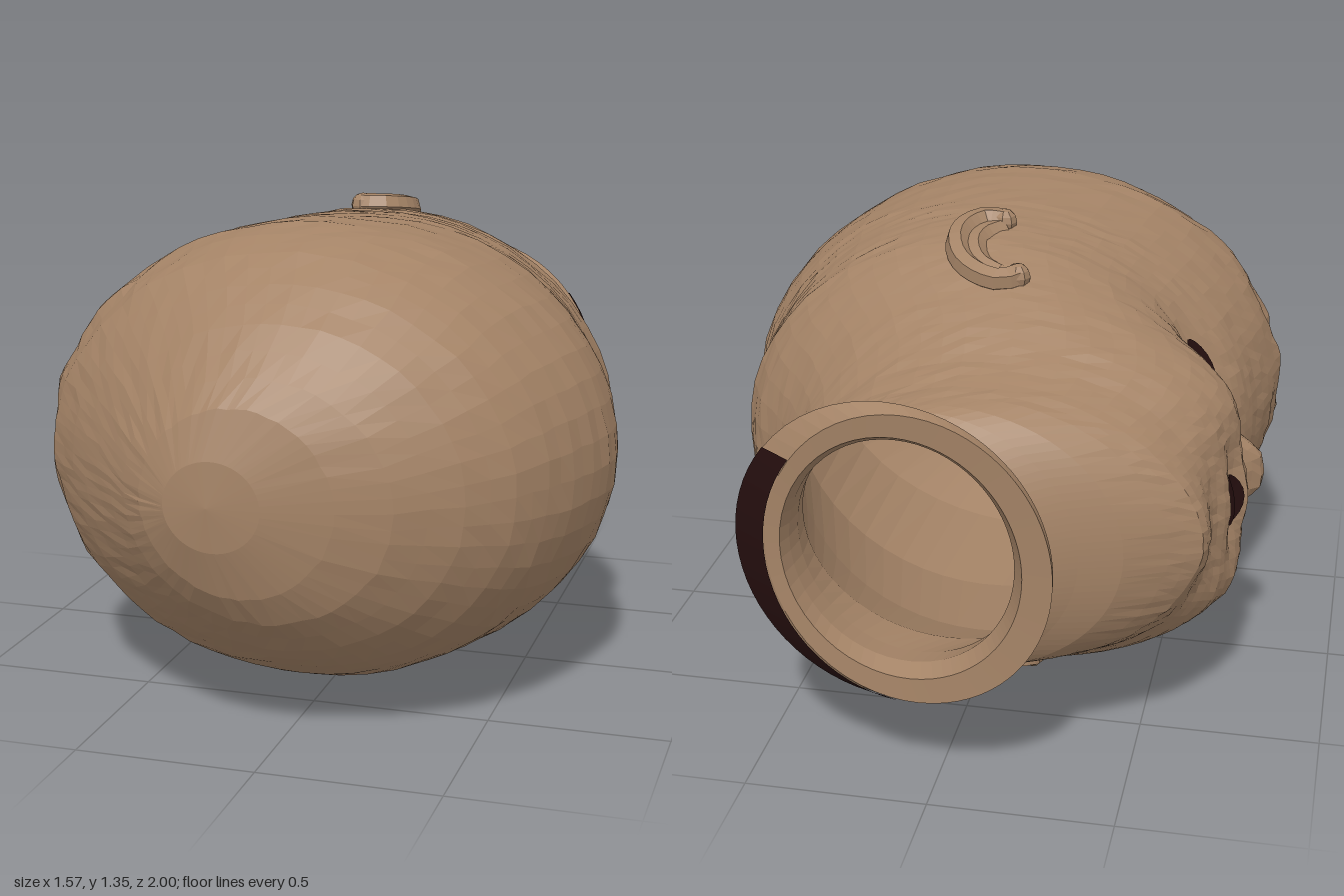
import * as THREE from 'three';

const MID = 0.69; // height of the face's plane of symmetry
const SEG = 72;

// Outer sections from crown to neck: z, xMin, xMax, yMin, yMax
const HEAD = [
  [1.0, -0.12, -0.12, 0.7, 0.7], [0.99, -0.24, 0.02, 0.58, 0.82], [0.95, -0.32, 0.2, 0.45, 0.95],
  [0.9, -0.385, 0.34, 0.37, 1.02], [0.8, -0.5, 0.5, 0.265, 1.14], [0.7, -0.615, 0.61, 0.185, 1.225],
  [0.6, -0.715, 0.675, 0.125, 1.29], [0.5, -0.765, 0.72, 0.085, 1.325], [0.4, -0.785, 0.755, 0.068, 1.342],
  [0.3, -0.775, 0.778, 0.06, 1.342], [0.2, -0.755, 0.783, 0.055, 1.335], [0.1, -0.725, 0.77, 0.05, 1.33],
  [0.0, -0.69, 0.735, 0.045, 1.322], [-0.1, -0.665, 0.712, 0.045, 1.315], [-0.2, -0.67, 0.708, 0.055, 1.3],
  [-0.3, -0.685, 0.66, 0.08, 1.26], [-0.4, -0.69, 0.565, 0.12, 1.215], [-0.5, -0.68, 0.5, 0.18, 1.165],
  [-0.6, -0.65, 0.465, 0.25, 1.11], [-0.7, -0.63, 0.45, 0.29, 1.08], [-0.75, -0.57, 0.445, 0.3, 1.07],
];
// Flange lip and face edge; the last number tilts the ring
const LIP = [-0.912, -0.325, 0.53, 0.27, 1.11, 0.115];
const FACE_EDGE = [-0.948, -0.33, 0.44, 0.285, 1.095, 0.115];
// Neck, flange and hollow inside
const NECK = [
  [-0.785, -0.48, 0.435, 0.31, 1.06, 0.05], [-0.81, -0.37, 0.43, 0.32, 1.05, 0.09],
  [-0.84, -0.29, 0.42, 0.33, 1.03, 0.115], [-0.863, -0.27, 0.42, 0.33, 1.03, 0.115],
  [-0.878, -0.3, 0.505, 0.285, 1.09, 0.115], LIP, FACE_EDGE,
  [-0.943, -0.25, 0.4, 0.35, 1.03, 0.115],
  [-0.89, -0.22, 0.39, 0.37, 1.0, 0.115], [-0.82, -0.24, 0.385, 0.36, 1.01, 0.09],
  [-0.7, -0.4, 0.4, 0.34, 1.03, 0], [-0.4, -0.54, 0.5, 0.2, 1.13, 0],
  [0, -0.56, 0.64, 0.13, 1.24, 0], [0.4, -0.68, 0.66, 0.15, 1.25, 0],
  [0.7, -0.5, 0.45, 0.25, 1.14, 0], [0.9, -0.12, -0.12, 0.7, 0.7, 0],
];
// Face relief: sideways offset, z, two spreads, outward height
const RELIEF = [
  [0, -0.2, 0.065, 0.055, 0.105], [0.07, -0.21, 0.035, 0.035, 0.035], // nose and nostrils
  [0.24, -0.09, 0.1, 0.05, -0.04], [0.2, 0.04, 0.12, 0.06, 0.015], // eye sockets and brow
  [0.28, -0.32, 0.12, 0.08, 0.07], [0.32, -0.49, 0.13, 0.12, 0.085], // cheeks and jowls
  [0, -0.365, 0.1, 0.035, 0.06], [0, -0.42, 0.08, 0.02, -0.035], [0, -0.47, 0.09, 0.035, 0.03], // lips
  [0, -0.67, 0.14, 0.06, 0.045], // chin
];

function hash(a, b) {
  const s = Math.sin(a * 127.1 + b * 311.7) * 43758.5453;
  return s - Math.floor(s) - 0.5;
}

function section(z) {
  let i = 0;
  while (i < HEAD.length - 2 && HEAD[i + 1][0] > z) i++;
  const a = HEAD[i], b = HEAD[i + 1];
  const t = THREE.MathUtils.clamp((a[0] - z) / (a[0] - b[0]), 0, 1);
  return a.map((v, k) => v + (b[k] - v) * t);
}

function relief(y, z) {
  let sum = 0;
  for (const [dy, cz, sy, sz, h] of RELIEF) {
    for (const side of dy ? [-1, 1] : [1]) {
      sum += h * Math.exp(-(((y - MID - side * dy) / sy) ** 2 + ((z - cz) / sz) ** 2) / 2);
    }
  }
  // soft locks of hair over the forehead
  const hair = Math.exp(-(((z - 0.48) / 0.13) ** 2));
  return sum + 0.014 * hair * Math.sin(19 * y + 6 * z) * Math.cos(23 * z - 7 * y);
}

// Point of a ring at angle t, before tilting
function ringPoint([, x0, x1, y0, y1], t) {
  return [(x0 + x1) / 2 + ((x1 - x0) / 2) * Math.cos(t), (y0 + y1) / 2 + ((y1 - y0) / 2) * Math.sin(t)];
}

// Front surface of the face at a given height and z
function faceX(y, z) {
  const [, x0, x1, y0, y1] = section(z);
  const v = (y - (y0 + y1) / 2) / ((y1 - y0) / 2);
  return (x0 + x1) / 2 - ((x1 - x0) / 2) * Math.sqrt(Math.max(0, 1 - v * v)) - relief(y, z);
}

// Side surface of the head (side = 1 upper, -1 lower)
function sideY(x, z, side) {
  const [, x0, x1, y0, y1] = section(z);
  const u = (x - (x0 + x1) / 2) / ((x1 - x0) / 2);
  return (y0 + y1) / 2 + side * ((y1 - y0) / 2) * Math.sqrt(Math.max(0, 1 - u * u));
}

function gridGeometry(pos, index) {
  const g = new THREE.BufferGeometry();
  g.setAttribute('position', new THREE.Float32BufferAttribute(pos, 3));
  g.setIndex(index);
  g.computeVertexNormals();
  return g;
}

function headGeometry() {
  const rings = [];
  for (let i = 0; i < HEAD.length - 1; i++) {
    const a = HEAD[i][0], b = HEAD[i + 1][0];
    const n = Math.max(1, Math.round((a - b) / (a <= 0.1 ? 0.025 : 0.05)));
    for (let k = 0; k < n; k++) rings.push([...section(a + ((b - a) * k) / n), 0]);
  }
  rings.push([...HEAD[HEAD.length - 1], 0]);
  const outer = rings.length;
  rings.push(...NECK);

  const pos = [], index = [];
  rings.forEach((ring, i) => {
    const z = ring[0];
    for (let j = 0; j < SEG; j++) {
      const u = (j / SEG) * Math.PI * 2;
      const t = u + 0.45 * Math.sin(u); // more columns across the face
      let [x, y] = ringPoint(ring, t);
      if (i < outer && i > 1) {
        const c = Math.cos(t);
        if (c < 0) x -= relief(y, z) * Math.min(1, -c * 2);
        x += hash(i, j) * 0.006;
        y += hash(j, i + 50) * 0.006;
      }
      pos.push(x, y, z + ring[5] * (x - 0.1));
    }
  });
  for (let i = 0; i < rings.length - 1; i++) {
    for (let j = 0; j < SEG; j++) {
      const a = i * SEG + j, b = i * SEG + ((j + 1) % SEG), c = a + SEG, d = b + SEG;
      index.push(a, c, b, b, c, d);
    }
  }
  return gridGeometry(pos, index);
}

// Oval patch laid on the face
function facePatch(cy, cz, ry, rz) {
  const g = new THREE.RingGeometry(0.001, 1, 20, 4);
  const p = g.attributes.position;
  for (let i = 0; i < p.count; i++) {
    const y = cy + p.getX(i) * ry, z = cz + p.getY(i) * rz;
    p.setXYZ(i, faceX(y, z) - 0.012, y, z);
  }
  g.computeVertexNormals();
  return g;
}

// Crescent strip just over the bevel between lip and flange face
function crescentGeometry(from, to, steps) {
  const pos = [], index = [];
  for (let i = 0; i <= steps; i++) {
    const t = from + ((to - from) * i) / steps;
    for (const ring of [LIP, FACE_EDGE]) {
      const [x, y] = ringPoint(ring, t);
      pos.push(x + 0.002, y, ring[0] + ring[5] * (x - 0.1) - 0.005);
    }
    if (i < steps) index.push(2 * i, 2 * i + 1, 2 * i + 2, 2 * i + 2, 2 * i + 1, 2 * i + 3);
  }
  return gridGeometry(pos, index);
}

export function createModel() {
  const skin = new THREE.MeshStandardMaterial({ color: 0xa48366 });
  skin.name = 'skin brown';
  skin.flatShading = true;
  const dark = new THREE.MeshStandardMaterial({ color: 0x240e0e, side: THREE.DoubleSide });
  dark.name = 'hollow dark';

  const model = new THREE.Group();
  const add = (name, geometry, material, parent = model) => {
    const mesh = new THREE.Mesh(geometry, material);
    mesh.name = name;
    parent.add(mesh);
    return mesh;
  };

  add('headAndNeck', headGeometry(), skin);

  // Open eyes and mouth, and the eye opening seen from inside
  add('leftEye', facePatch(MID + 0.24, -0.09, 0.085, 0.05), dark);
  add('rightEye', facePatch(MID - 0.24, -0.09, 0.085, 0.05), dark);
  add('mouth', facePatch(MID, -0.425, 0.075, 0.035), dark);
  const inside = add('innerEyeOpening', new THREE.SphereGeometry(0.05, 12, 8), dark);
  inside.scale.x = 0.4;
  inside.position.set(-0.5, 0.86, -0.36);

  // Ears: broad outer rim and inner fold following the side of the head
  const rim = [[-0.11, -0.325], [-0.07, -0.35], [-0.01, -0.335], [0.05, -0.285], [0.08, -0.21], [0.072, -0.13], [0.03, -0.075], [-0.025, -0.075]];
  const fold = [[-0.06, -0.31], [0, -0.275], [0.03, -0.21], [0.02, -0.14], [-0.02, -0.09]];
  for (const side of [1, -1]) {
    const ear = new THREE.Group();
    ear.name = side > 0 ? 'upperEar' : 'lowerEar';
    const shift = side > 0 ? 0 : -0.05;
    const path = (pts, lift) => new THREE.CatmullRomCurve3(
      pts.map(([x, z]) => new THREE.Vector3(x + shift, sideY(x + shift, z, side) + side * lift, z)));
    add('earRim', new THREE.TubeGeometry(path(rim, 0.01), 16, 0.034, 6), skin, ear);
    add('earFold', new THREE.TubeGeometry(path(fold, -0.008), 10, 0.032, 6), skin, ear);
    for (const [name, x, z] of [['earTip', ...rim[0]], ['earLobe', ...rim[rim.length - 1]]]) {
      const end = add(name, new THREE.SphereGeometry(0.036, 8, 6), skin, ear);
      end.position.set(x + shift, sideY(x + shift, z, side) + side * 0.008, z);
    }
    model.add(ear);
  }

  // Dark crescent on the flange bevel and a small opening on its front
  add('flangeGap', crescentGeometry(-1.5, 0.65, 24), dark);
  const hole = add('flangeHole', new THREE.SphereGeometry(0.03, 10, 8), dark);
  hole.scale.z = 0.3;
  hole.position.set(0.4, 0.92, -0.833);

  return model;
}
